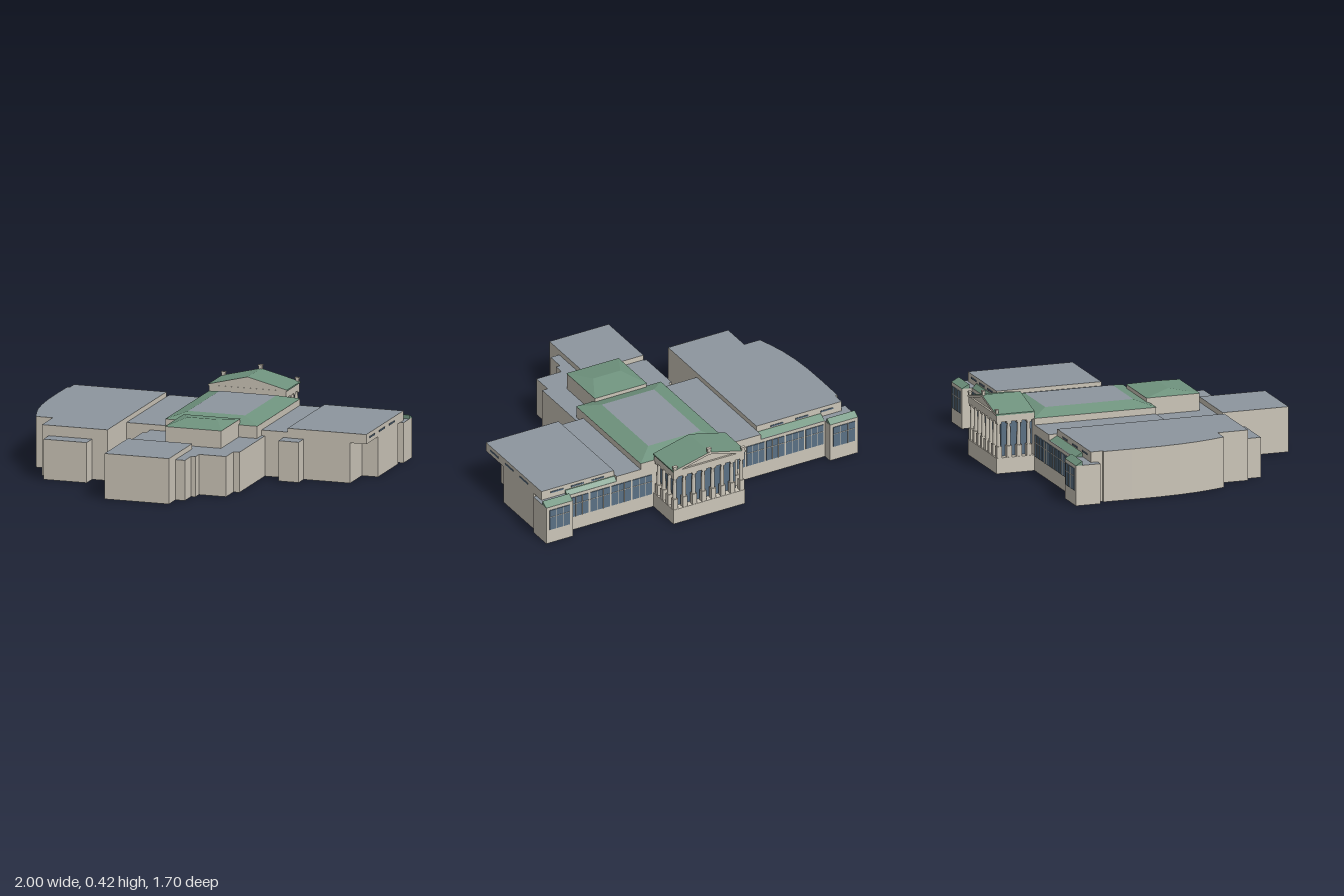
import * as THREE from 'three';

const mat = (name, color) => {
  const m = new THREE.MeshStandardMaterial({ color });
  m.name = name;
  return m;
};

export function createModel() {
  const stone = mat('stone', 0xcbc5b8);
  const slate = mat('slate roof', 0x8d969e);
  const copper = mat('green copper', 0x6f937e);
  const glass = mat('window glass', 0x5a7084);
  const root = new THREE.Group();
  root.name = 'building';

  const add = (name, geo, material) => {
    const m = new THREE.Mesh(geo, material);
    m.name = name;
    root.add(m);
    return m;
  };
  const box = (name, x0, x1, y0, y1, z0, z1, material) => {
    const m = add(name, new THREE.BoxGeometry(x1 - x0, y1 - y0, z1 - z0), material);
    m.position.set((x0 + x1) / 2, (y0 + y1) / 2, (z0 + z1) / 2);
    return m;
  };
  // Extrude a plan outline of [x, z] points between two heights
  const prism = (name, pts, y0, y1, materials) => {
    const shape = new THREE.Shape(pts.map(([x, z]) => new THREE.Vector2(x, -z)));
    const geo = new THREE.ExtrudeGeometry(shape, { depth: y1 - y0, bevelEnabled: false });
    geo.rotateX(-Math.PI / 2);
    add(name, geo, materials).position.y = y0;
  };
  // Stone walls with a flat slate roof
  const block = (name, pts, y0, y1) => {
    prism(name + 'Walls', pts, y0, y1 - 0.004, stone);
    prism(name + 'Roof', pts, y1 - 0.004, y1, [slate, stone]);
  };
  const rect = (x0, x1, z0, z1) => [[x0, z0], [x0, z1], [x1, z1], [x1, z0]];
  // Extrude an [x, y] outline along z
  const along = (name, pts, z0, z1, materials) => {
    const shape = new THREE.Shape(pts.map(([x, y]) => new THREE.Vector2(x, y)));
    const geo = new THREE.ExtrudeGeometry(shape, { depth: z1 - z0, bevelEnabled: false });
    add(name, geo, materials).position.z = z0;
  };
  // Sloped roof from an outer rectangle up to an inner one [x0, x1, z0, z1]
  const hip = (name, o, y0, i, y1, top) => {
    const ring = ([a, b, c, d], y) => [[a, y, d], [b, y, d], [b, y, c], [a, y, c]];
    const lo = ring(o, y0), hi = ring(i, y1), pos = [];
    const quad = (a, b, c, d) => pos.push(...a, ...b, ...c, ...a, ...c, ...d);
    for (let k = 0; k < 4; k++) {
      const n = (k + 1) % 4;
      quad(lo[k], lo[n], hi[n], hi[k]);
    }
    quad(...hi);
    const geo = new THREE.BufferGeometry();
    geo.setAttribute('position', new THREE.Float32BufferAttribute(pos, 3));
    geo.computeVertexNormals();
    geo.addGroup(0, 24, 0);
    geo.addGroup(24, 6, 1);
    add(name, geo, [copper, top]);
  };

  // Curved outer edge of the right wing
  const curve = [[-0.97, -0.5], [-0.972, -0.33], [-0.97, -0.17], [-0.96, -0.04],
    [-0.943, 0.07], [-0.92, 0.16], [-0.895, 0.24]];

  // Ground storey
  block('base', [
    [-0.82, -0.62], [-0.82, -0.675], [-1, -0.675], [-1, -0.53], [-0.955, -0.53], [-0.955, -0.5],
    ...curve, [-0.795, 0.24], [-0.795, 0.42], [-0.755, 0.42], [-0.755, 0.51], [-0.5, 0.51],
    [-0.5, 0.42], [-0.41, 0.42], [-0.41, 0.1], [-0.27, 0.1], [-0.27, 0.17], [-0.29, 0.17],
    [-0.29, 0.455], [-0.275, 0.455], [-0.275, 0.85], [0.105, 0.85], [0.105, 0.74], [0.16, 0.74],
    [0.16, 0.635], [0.185, 0.635], [0.185, 0.575], [0.345, 0.575], [0.345, 0.45], [0.38, 0.45],
    [0.38, 0.025], [0.49, 0.025], [0.49, 0.112], [0.61, 0.112], [0.61, 0.03], [0.885, 0.03],
    [0.885, -0.165], [0.98, -0.165], [0.98, -0.5], [0.965, -0.5], [0.965, -0.535], [1, -0.535],
    [1, -0.68], [0.83, -0.68], [0.83, -0.62],
  ], 0, 0.23);

  // Upper storeys
  block('rightWing', [[-0.41, -0.57], [-0.955, -0.57], [-0.955, -0.5], ...curve,
    [-0.795, 0.24], [-0.795, 0.42], [-0.41, 0.42]], 0.23, 0.29);
  block('leftWing', rect(0.515, 0.98, -0.59, 0.03), 0.23, 0.285);
  block('rightLink', rect(-0.41, -0.18, -0.62, 0.1), 0.23, 0.262);
  block('leftLink', rect(0.36, 0.515, -0.62, 0.025), 0.23, 0.262);
  block('frontHall', rect(-0.275, 0.105, 0.46, 0.85), 0.23, 0.26);

  // Central hall and front lantern with hipped copper roofs
  box('centralHall', -0.18, 0.36, 0.23, 0.3, -0.62, 0.1, stone);
  hip('centralRoof', [-0.182, 0.362, -0.622, 0.102], 0.3, [-0.08, 0.255, -0.52, 0], 0.332, slate);
  box('frontLantern', -0.077, 0.252, 0.23, 0.33, 0.082, 0.395, stone);
  hip('lanternRoof', [-0.08, 0.255, 0.079, 0.398], 0.33, [0, 0.175, 0.237, 0.239], 0.355, copper);

  // Lean-to copper roofs along the back facade
  const leanTo = (name, x0, x1, z0, z1) =>
    hip(name, [x0, x1, z0, z1], 0.23, [x0, x1, z1 - 0.006, z1], 0.252, copper);
  leanTo('rightBackRoof', -0.82, -0.415, -0.615, -0.57);
  leanTo('leftBackRoof', 0.515, 0.83, -0.619, -0.59);
  leanTo('rightPavilionRoof', -1, -0.822, -0.675, -0.635);
  leanTo('leftPavilionRoof', 0.83, 1, -0.68, -0.635);

  // Back windows with mullions
  const windowBand = (name, x0, x1, z, bays) => {
    const w = (x1 - x0) / bays;
    for (let b = 0; b < bays; b++) {
      const a = x0 + b * w + 0.006, e = x0 + (b + 1) * w - 0.006;
      box(name, a, e, 0.085, 0.21, z - 0.004, z, glass);
      for (const t of [1 / 3, 2 / 3]) {
        const x = a + (e - a) * t;
        box(name + 'Mullion', x - 0.0015, x + 0.0015, 0.085, 0.21, z - 0.006, z, stone);
      }
      box(name + 'Transom', a, e, 0.165, 0.168, z - 0.006, z, stone);
    }
  };
  windowBand('rightBackWindow', -0.815, -0.185, -0.62, 5);
  windowBand('leftBackWindow', 0.285, 0.825, -0.62, 4);
  windowBand('rightPavilionWindow', -0.985, -0.835, -0.675, 1);
  windowBand('leftPavilionWindow', 0.845, 0.985, -0.68, 1);

  // Slit windows of the upper wings
  for (const z of [-0.065, -0.23, -0.395]) {
    box('slitWindow', 0.98, 0.983, 0.254, 0.263, z - 0.045, z + 0.045, glass);
  }
  for (const x of [-0.86, -0.7, -0.54, 0.62, 0.75, 0.88]) {
    const z = x < 0 ? -0.57 : -0.59;
    box('slitWindow', x - 0.04, x + 0.04, 0.259, 0.268, z - 0.003, z, glass);
  }

  // Portico: podium, glazed hall, columns on pedestals
  box('porticoPodium', -0.18, 0.28, 0, 0.09, -0.845, -0.62, stone);
  box('porticoGlassHall', -0.14, 0.24, 0.09, 0.295, -0.805, -0.62, glass);
  const column = (x, z) => {
    box('pedestal', x - 0.015, x + 0.015, 0.09, 0.155, z - 0.015, z + 0.015, stone);
    add('column', new THREE.CylinderGeometry(0.0095, 0.012, 0.13, 12), stone).position.set(x, 0.22, z);
    box('capital', x - 0.014, x + 0.014, 0.283, 0.296, z - 0.014, z + 0.014, stone);
  };
  for (let i = 0; i < 8; i++) column(-0.163 + (i * 0.426) / 7, -0.828);
  for (const z of [-0.768, -0.708, -0.65]) {
    column(-0.163, z);
    column(0.263, z);
  }

  // Entablature, pediment and gabled roof
  box('entablature', -0.177, 0.277, 0.295, 0.336, -0.843, -0.62, stone);
  along('pediment', [[-0.17, 0.336], [0.27, 0.336], [0.05, 0.39]], -0.832, -0.622, stone);
  along('gableRoof', [[-0.182, 0.334], [-0.15, 0.334], [0.05, 0.386], [0.25, 0.334], [0.282, 0.334],
    [0.282, 0.342], [0.05, 0.4], [-0.182, 0.342]], -0.848, -0.62, [stone, copper]);

  // Roof ornaments
  for (const [x, y] of [[-0.167, 0.342], [0.05, 0.398], [0.267, 0.342]]) {
    box('roofOrnament', x - 0.01, x + 0.01, y - 0.008, y + 0.02, -0.847, -0.832, stone);
    box('roofOrnamentCap', x - 0.013, x + 0.013, y + 0.018, y + 0.025, -0.849, -0.83, stone);
  }
  return root;
}
